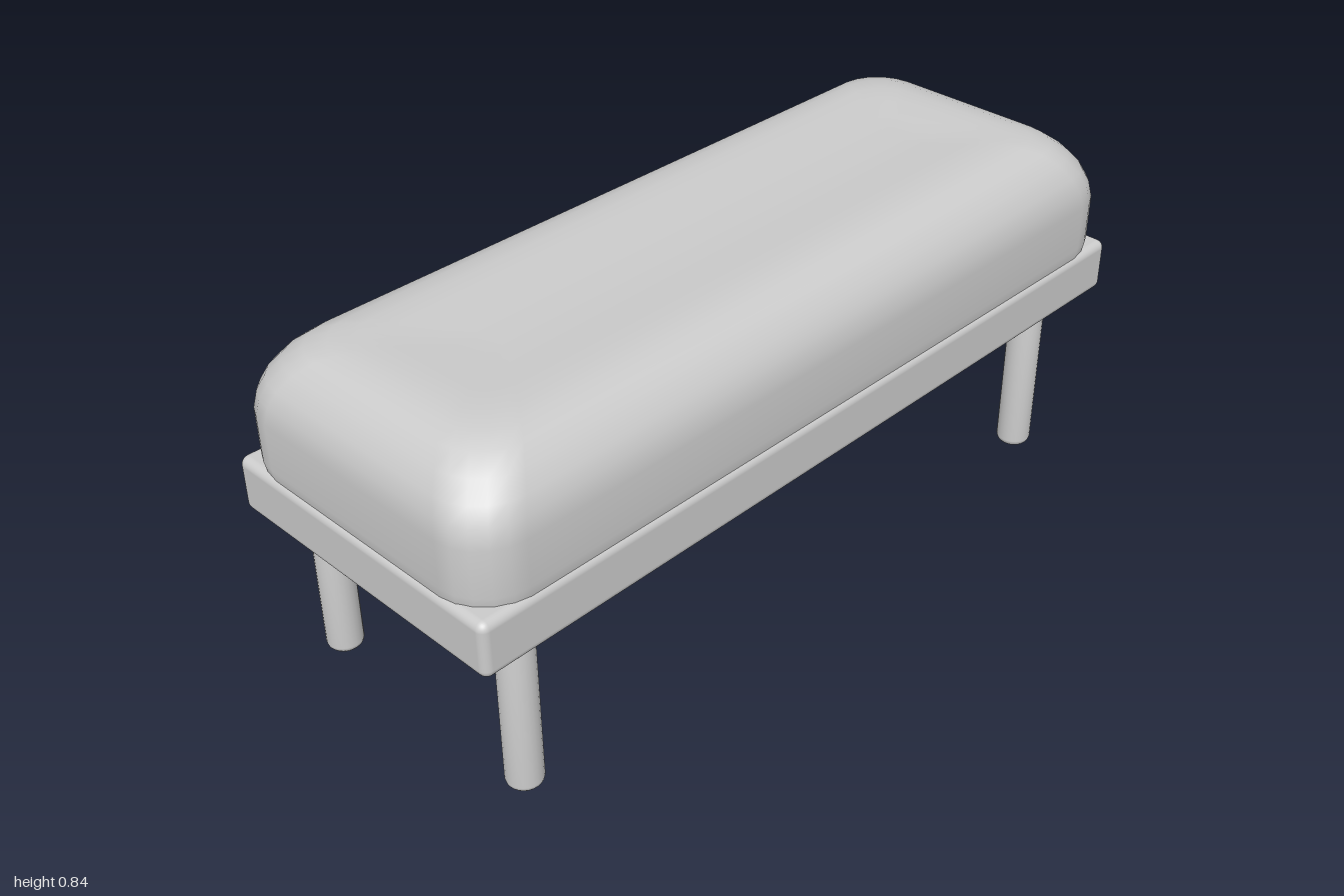
import * as THREE from 'three';
import { RoundedBoxGeometry } from 'three/addons/geometries/RoundedBoxGeometry.js';

const material = new THREE.MeshStandardMaterial({ color: 0xcccccc });

function addMesh(group, name, geometry, x = 0, y = 0, z = 0) {
  const mesh = new THREE.Mesh(geometry, material);
  mesh.name = name;
  mesh.position.set(x, y, z);
  group.add(mesh);
}

// Points of a rounded rectangle in plan, running from +x towards +z.
function roundedOutline(halfX, halfZ, radius, steps) {
  const points = [];
  for (let corner = 0; corner < 4; corner++) {
    const sx = corner === 0 || corner === 3 ? 1 : -1;
    const sz = corner < 2 ? 1 : -1;
    for (let i = 0; i <= steps; i++) {
      const a = (corner + i / steps) * Math.PI / 2;
      points.push([
        sx * (halfX - radius) + radius * Math.cos(a),
        sz * (halfZ - radius) + radius * Math.sin(a),
      ]);
    }
  }
  return points;
}

// Cushion: stacked rounded rectangles that draw in towards a slightly sunken top.
function cushionGeometry() {
  // [height, inset from the widest outline, corner radius]
  const rings = [
    [0.50, 0.012, 0.11], [0.545, 0.004, 0.12], [0.57, 0, 0.12], [0.68, 0, 0.12],
    [0.722, 0.008, 0.12], [0.757, 0.023, 0.12], [0.792, 0.05, 0.115],
    [0.819, 0.083, 0.11], [0.832, 0.12, 0.1], [0.838, 0.165, 0.09],
    [0.836, 0.22, 0.07], [0.831, 0.29, 0.05], [0.829, 0.35, 0.02],
  ];
  const steps = 5;
  const count = 4 * (steps + 1);
  const positions = [];
  const indices = [];
  for (const [y, inset, radius] of rings) {
    for (const [x, z] of roundedOutline(0.382 - inset, 0.996 - inset, radius, steps)) {
      positions.push(x, y, z);
    }
  }
  for (let r = 0; r < rings.length - 1; r++) {
    for (let i = 0; i < count; i++) {
      const a = r * count + i;
      const b = r * count + (i + 1) % count;
      indices.push(a, a + count, b, b, a + count, b + count);
    }
  }
  // Close the narrow strip left in the middle of the top
  const last = (rings.length - 1) * count;
  for (let i = 1; i < count - 1; i++) indices.push(last, last + i + 1, last + i);

  const geometry = new THREE.BufferGeometry();
  geometry.setAttribute('position', new THREE.Float32BufferAttribute(positions, 3));
  geometry.setIndex(indices);
  geometry.computeVertexNormals();
  return geometry;
}

// Leg: a round post with a softened foot.
function legGeometry() {
  const profile = [
    [0, 0], [0.028, 0], [0.035, 0.003], [0.04, 0.009], [0.042, 0.017], [0.042, 0.43], [0, 0.43],
  ].map(([x, y]) => new THREE.Vector2(x, y));
  return new THREE.LatheGeometry(profile, 24);
}

export function createModel() {
  const bench = new THREE.Group();
  bench.name = 'bench';

  addMesh(bench, 'cushion', cushionGeometry());
  addMesh(bench, 'base', new RoundedBoxGeometry(0.77, 0.133, 2, 4, 0.02), 0, 0.4815, 0);

  // Four legs, set a little off centre
  const leg = legGeometry();
  for (const [side, x] of [['Right', -0.309], ['Left', 0.295]]) {
    for (const [end, z] of [['front', 0.857], ['back', -0.819]]) {
      addMesh(bench, `${end}${side}Leg`, leg, x, 0, z);
    }
  }
  return bench;
}
